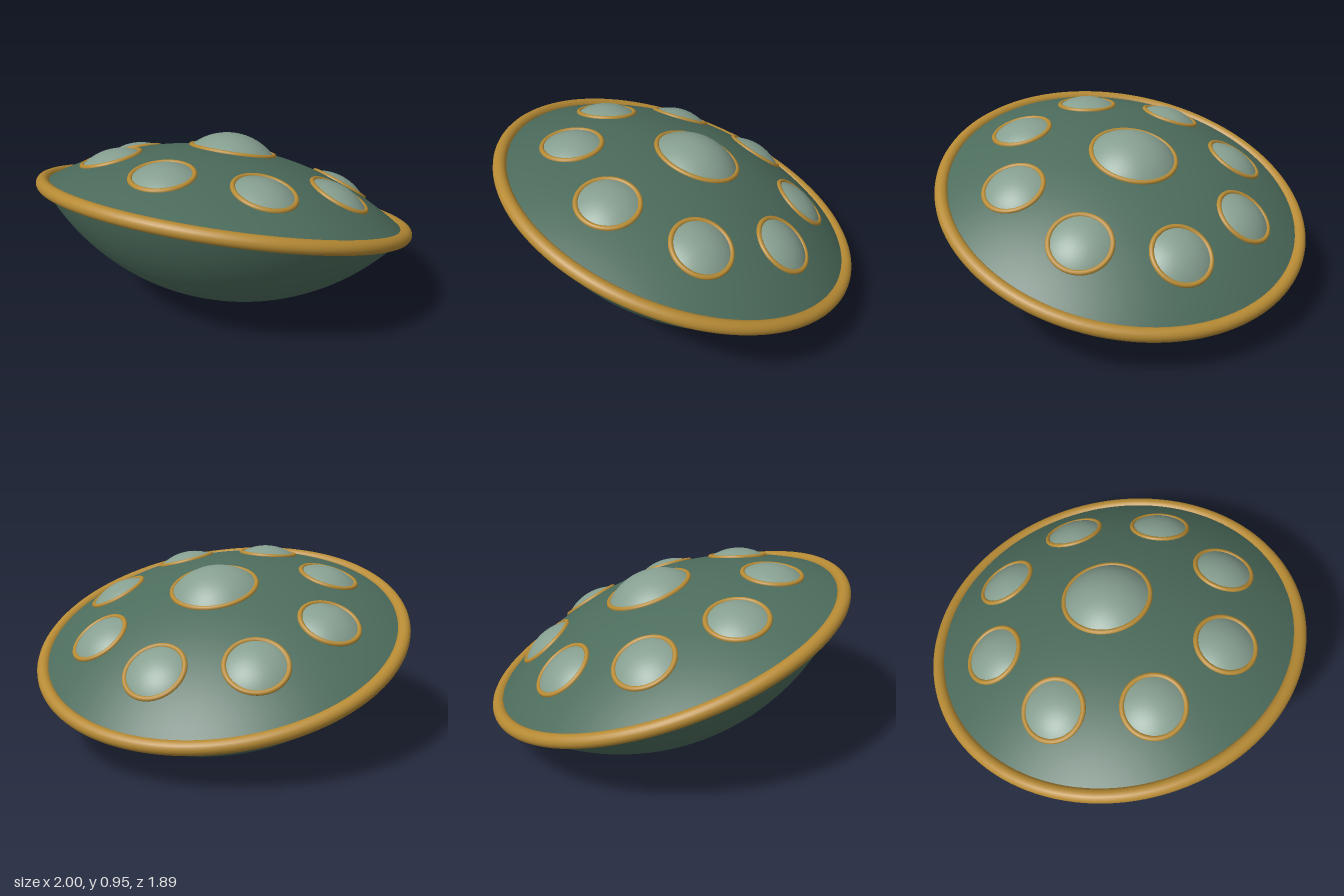
import * as THREE from 'three';

const hullMat = new THREE.MeshStandardMaterial({ color: 0x4c6c5c });
const trimMat = new THREE.MeshStandardMaterial({ color: 0xb68a34 });
const glassMat = new THREE.MeshStandardMaterial({ color: 0x869f90 });

const RIM = 0.965;       // rim radius
const TOP_HEIGHT = 0.3;  // rise of the upper hull
const BELLY_DEPTH = 0.5; // drop of the lower hull

const sphereRadius = (r, h) => (r * r + h * h) / (2 * h);

function add(parent, name, geometry, material) {
  const mesh = new THREE.Mesh(geometry, material);
  mesh.name = name;
  parent.add(mesh);
  return mesh;
}

// Spherical cap with its base circle of radius r on y = 0 and its apex at y = h
function cap(r, h, segments, rings) {
  const R = sphereRadius(r, h);
  return new THREE.SphereGeometry(R, segments, rings, 0, Math.PI * 2, 0, Math.asin(r / R))
    .translate(0, h - R, 0);
}

function ring(radius, tube, segments, sides) {
  return new THREE.TorusGeometry(radius, tube, sides, segments).rotateX(Math.PI / 2);
}

// Domed window in a trim ring, seated on the upper hull
function addWindow(parent, name, r, height, distance, angle) {
  const R = sphereRadius(RIM, TOP_HEIGHT);
  const lean = Math.asin(distance / R);
  const normal = new THREE.Vector3(
    Math.sin(lean) * Math.cos(angle), Math.cos(lean), Math.sin(lean) * Math.sin(angle));
  const group = new THREE.Group();
  group.name = name;
  group.position.copy(normal).multiplyScalar(Math.sqrt(R * R - r * r));
  group.position.y += TOP_HEIGHT - R;
  group.quaternion.setFromUnitVectors(new THREE.Vector3(0, 1, 0), normal);
  add(group, 'windowDome', cap(r, height, 48, 12), glassMat);
  add(group, 'windowRing', ring(r, 0.013, 64, 12), trimMat);
  parent.add(group);
}

export function createModel() {
  const model = new THREE.Group();
  model.name = 'saucer';

  // Whole craft tips backwards, front edge raised
  const craft = new THREE.Group();
  craft.name = 'tiltedCraft';
  craft.position.y = 0.545;
  craft.rotation.x = -THREE.MathUtils.degToRad(19.4);
  model.add(craft);

  // Hull halves and rim
  add(craft, 'upperHull', cap(RIM, TOP_HEIGHT, 128, 32), hullMat);
  add(craft, 'lowerHull', cap(RIM, BELLY_DEPTH, 128, 40).rotateX(Math.PI), hullMat);
  add(craft, 'rim', ring(RIM, 0.035, 128, 20), trimMat);

  // Central cockpit dome and eight windows around it
  addWindow(craft, 'cockpit', 0.222, 0.093, 0, 0);
  for (let i = 0; i < 8; i++) {
    addWindow(craft, 'window' + (i + 1), 0.153, 0.046, 0.64,
      THREE.MathUtils.degToRad(6 + 45 * i));
  }
  return model;
}
